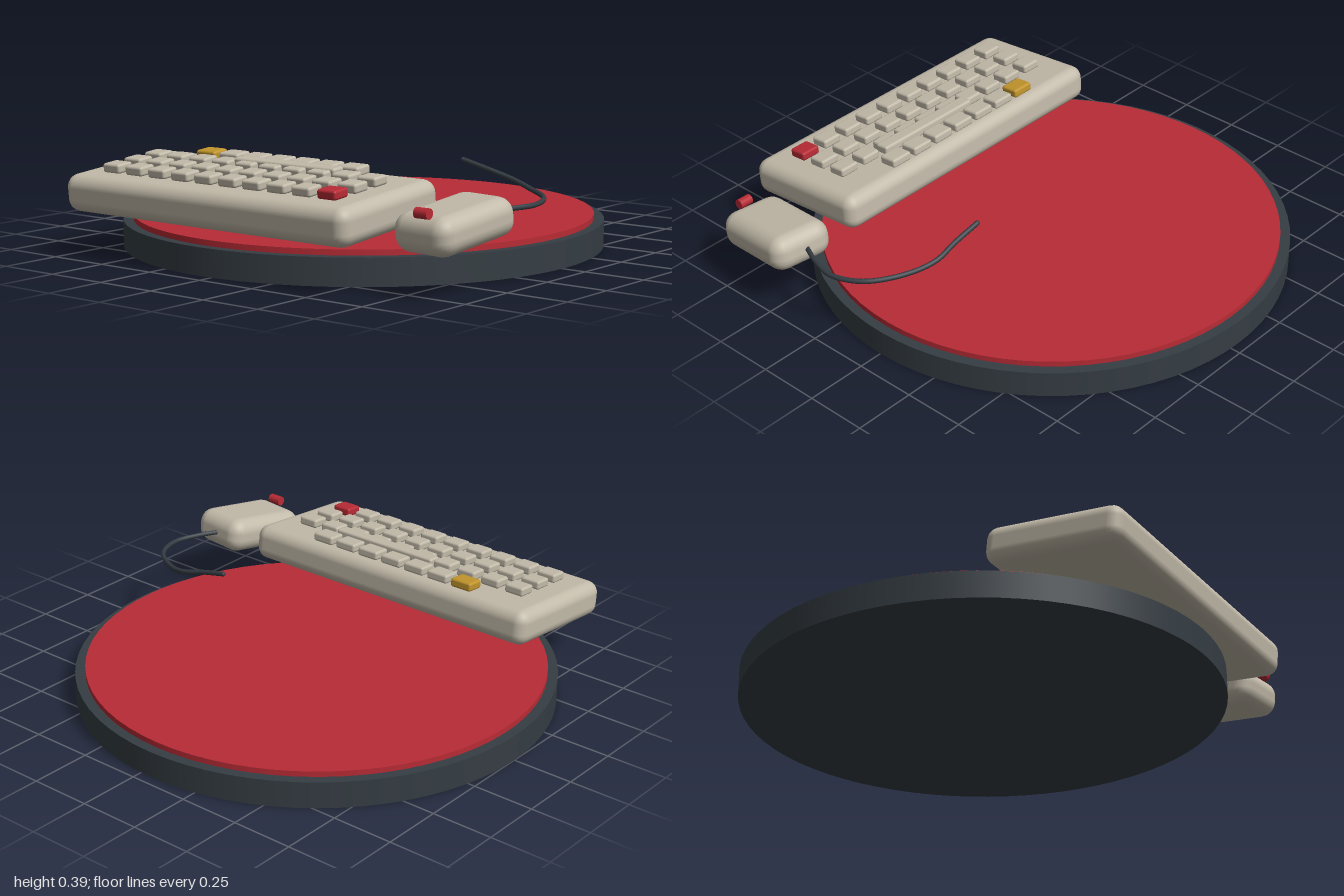
import * as THREE from 'three';
import { RoundedBoxGeometry } from 'three/addons/geometries/RoundedBoxGeometry.js';

function material(name, color) {
  const m = new THREE.MeshStandardMaterial({ color });
  m.name = name;
  return m;
}

export function createModel() {
  const model = new THREE.Group();
  model.name = 'deskSet';
  const charcoal = material('charcoal', 0x353d43);
  const red = material('red', 0xb82b35);
  const beige = material('beige', 0xc2baa9);
  const gold = material('gold', 0xc2952c);

  function add(name, geometry, mat, x, y, z, parent = model) {
    const mesh = new THREE.Mesh(geometry, mat);
    mesh.name = name;
    mesh.position.set(x, y, z);
    parent.add(mesh);
    return mesh;
  }

  // Round base with a slightly smaller raised pad
  add('base', new THREE.CylinderGeometry(0.95, 0.95, 0.106, 72), charcoal, -0.05, 0.053, -0.01);
  add('pad', new THREE.CylinderGeometry(0.91, 0.91, 0.03, 72), red, -0.05, 0.113, -0.01);

  // Keyboard, raised at the back; children use its tilted frame
  const keyboard = new THREE.Group();
  keyboard.name = 'keyboard';
  keyboard.position.set(-0.05, 0.266, 0.684);
  keyboard.rotation.x = 0.09;
  model.add(keyboard);
  add('keyboardBody', new RoundedBoxGeometry(1.38, 0.146, 0.56, 3, 0.05), beige, 0, 0, 0, keyboard);

  function key(name, x, z, w, d, mat, lift = 0) {
    const geometry = new RoundedBoxGeometry(w, 0.036, d, 2, 0.01);
    add(name, geometry, mat, x + 0.05, 0.09 + lift, z - 0.692, keyboard);
  }

  // Three main rows of ten, the front right key in red
  for (let row = 0; row < 3; row++) {
    for (let col = 0; col < 10; col++) {
      const accent = row === 2 && col === 9;
      key(accent ? 'redKey' : 'key', -0.578 + col * 0.1177, 0.605 + row * 0.1125,
        0.086, 0.076, accent ? red : beige);
    }
  }
  // Back row of wider keys, starting with a gold one
  for (let i = 0; i < 7; i++) {
    key(i ? 'backKey' : 'goldKey', -0.401 + i * 0.1177, 0.492, 0.097, 0.078, i ? beige : gold);
  }
  key('spaceBar', 0.059, 0.575, 0.49, 0.06, beige, 0.006);

  // Mouse, turned and tilted up at the back
  const mouse = add('mouse', new RoundedBoxGeometry(0.265, 0.145, 0.392, 3, 0.06), beige, 0.847, 0.242, 0.605);
  mouse.rotation.set(0.14, -0.127, 0, 'YXZ');

  // Small roller above the mouse nose
  const roller = add('mouseRoller', new THREE.CylinderGeometry(0.02, 0.02, 0.056, 16), red, 0.846, 0.303, 0.787);
  roller.rotation.z = Math.PI / 2;

  // Cable from the back of the mouse, curling over the pad
  const path = new THREE.CatmullRomCurve3([
    [0.86, 0.266, 0.42], [0.9, 0.268, 0.33], [0.925, 0.27, 0.22], [0.877, 0.276, 0.096],
    [0.75, 0.287, 0.0], [0.636, 0.308, -0.045], [0.53, 0.335, -0.043], [0.41, 0.362, -0.045],
  ].map((p) => new THREE.Vector3(...p)));
  add('cable', new THREE.TubeGeometry(path, 60, 0.01, 8), charcoal, 0, 0, 0);
  add('cableTip', new THREE.SphereGeometry(0.01, 8, 6), charcoal, 0.41, 0.362, -0.045);

  return model;
}
